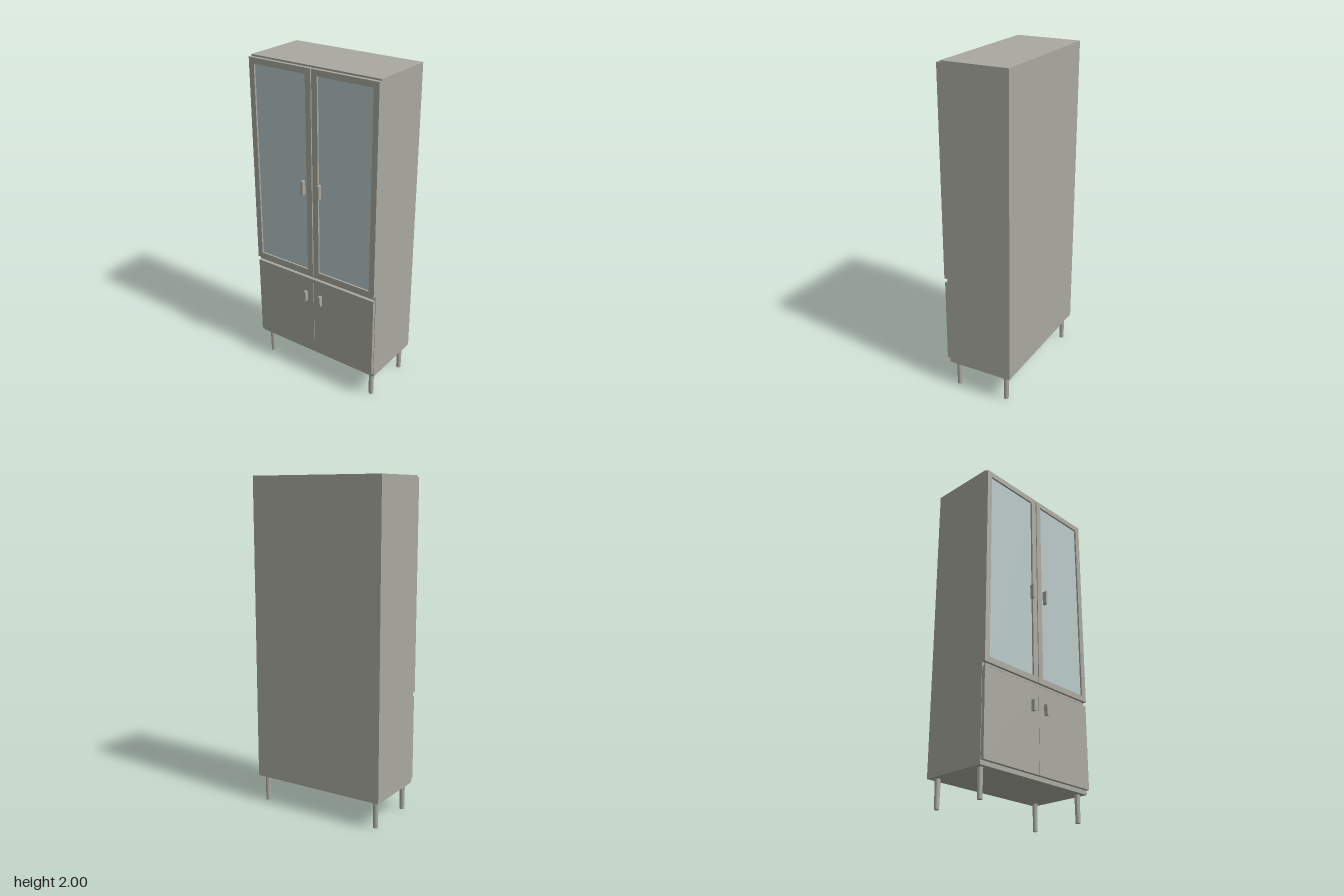
import * as THREE from 'three';

export function createModel() {
  const root = new THREE.Group();
  root.name = 'displayCabinet';

  const paint = new THREE.MeshStandardMaterial({ color: 0xa9a9a0 });
  paint.name = 'greyPaint';
  const glass = new THREE.MeshStandardMaterial({ color: 0xb9c8c8 });
  glass.name = 'paleGlass';

  // Box given by its minimum and maximum on each axis
  function block(name, [x0, x1], [y0, y1], [z0, z1], material = paint, parent = root) {
    const mesh = new THREE.Mesh(new THREE.BoxGeometry(x1 - x0, y1 - y0, z1 - z0), material);
    mesh.position.set((x0 + x1) / 2, (y0 + y1) / 2, (z0 + z1) / 2);
    mesh.name = name;
    parent.add(mesh);
    return mesh;
  }

  // Carcass and the recessed rail between upper and lower doors
  block('carcass', [-0.43, 0.43], [0.165, 2], [-0.228, 0.18]);
  block('middleRail', [-0.41, 0.41], [0.715, 0.73], [0.18, 0.185]);

  for (const side of [-1, 1]) {
    const label = side < 0 ? 'right' : 'left';
    const span = (a, b) => (side < 0 ? [-b, -a] : [a, b]);

    // Upper door: frame with an opening and a set-back pane
    const door = new THREE.Group();
    door.name = label + 'UpperDoor';
    root.add(door);
    const rect = (target, [x0, x1], y0, y1) => {
      target.moveTo(x0, y0);
      target.lineTo(x1, y0);
      target.lineTo(x1, y1);
      target.lineTo(x0, y1);
      target.closePath();
      return target;
    };
    const outline = rect(new THREE.Shape(), span(0.003, 0.43), 0.73, 1.99);
    outline.holes.push(rect(new THREE.Path(), span(0.04, 0.395), 0.765, 1.955));
    const frame = new THREE.Mesh(
      new THREE.ExtrudeGeometry(outline, { depth: 0.022, bevelEnabled: false }), paint);
    frame.position.z = 0.18;
    frame.name = 'doorFrame';
    door.add(frame);
    block('glassPane', span(0.04, 0.395), [0.765, 1.955], [0.182, 0.191], glass, door);
    block('upperHandle', span(0.049, 0.063), [1.255, 1.34], [0.202, 0.228], paint, door);

    // Solid lower door
    const lower = new THREE.Group();
    lower.name = label + 'LowerDoor';
    root.add(lower);
    block('doorPanel', span(0.001, 0.427), [0.19, 0.705], [0.18, 0.2], paint, lower);
    block('lowerHandle', span(0.046, 0.062), [0.545, 0.61], [0.2, 0.223], paint, lower);

    // Slim round legs
    for (const z of [0.14, -0.186]) {
      const leg = new THREE.Mesh(new THREE.CylinderGeometry(0.016, 0.014, 0.165, 12), paint);
      leg.position.set(side * 0.39, 0.0825, z);
      leg.name = label + (z > 0 ? 'FrontLeg' : 'BackLeg');
      root.add(leg);
    }
  }
  return root;
}
